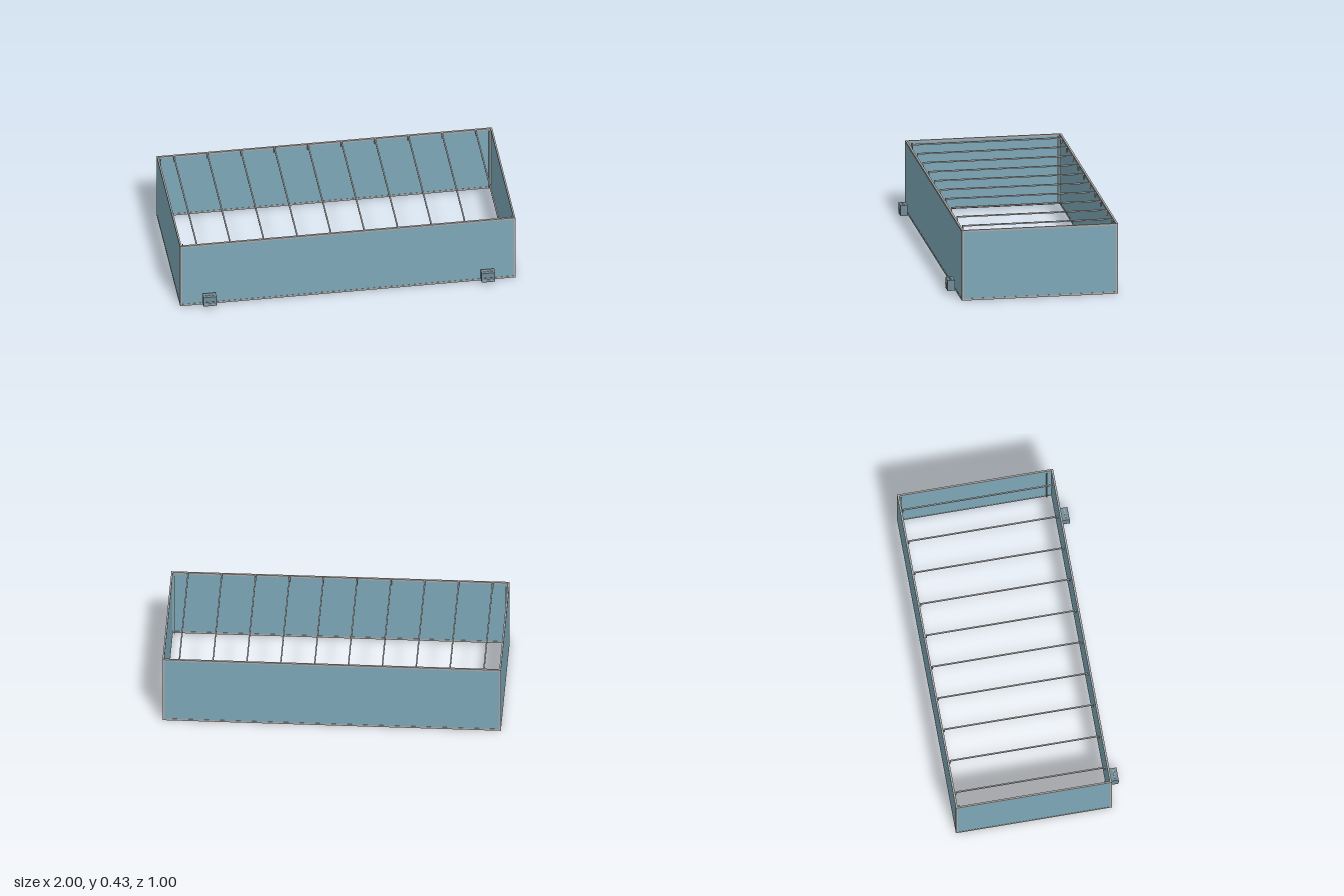
import * as THREE from 'three';

export function createModel() {
  const root = new THREE.Group();
  root.name = 'framedEnclosure';
  const mat = (name, color, side = THREE.FrontSide) => {
    const m = new THREE.MeshStandardMaterial({ color, side });
    m.name = name;
    return m;
  };
  const blue = mat('panelBlue', 0x7da7b7);
  const grey = mat('frameGrey', 0xa8a8a8);
  const slate = mat('boxSlate', 0x718b97);

  const H = 0.43, T = 0.012, X = 1, ZB = -0.5, ZF = 0.435;
  const zMid = (ZB + ZF) / 2, depth = ZF - ZB;

  const box = (parent, name, material, size, pos) => {
    const mesh = new THREE.Mesh(new THREE.BoxGeometry(...size), material);
    mesh.name = name;
    mesh.position.set(...pos);
    parent.add(mesh);
    return mesh;
  };

  // A wall: a rectangular frame with a panel set into it
  function wall(name, length, thick) {
    const g = new THREE.Group();
    g.name = name;
    for (const y of [T / 2, H - T / 2])
      box(g, 'rail', grey, [length, T, thick], [0, y, 0]);
    for (const s of [-1, 1])
      box(g, 'stile', grey, [T, H - 2 * T, thick], [s * (length - T) / 2, H / 2, 0]);
    box(g, 'panel', blue, [length - 2 * T, H - 2 * T, thick - 0.003], [0, H / 2, 0]);
    root.add(g);
    return g;
  }
  wall('frontWall', 2 * X, T).position.z = ZF - T / 2;
  wall('backWall', 2 * X, T).position.z = ZB + T / 2;
  for (const s of [-1, 1]) {
    const w = wall(s > 0 ? 'leftWall' : 'rightWall', depth, 0.01);
    w.rotation.y = s * Math.PI / 2;
    w.position.set(s * (X - 0.005), 0, zMid);
  }

  // Slender rods inside the corners
  for (const x of [-0.98, 0.98])
    for (const z of [-0.478, 0.395])
      box(root, 'cornerRod', grey, [0.005, H - 2 * T, 0.008], [x, H / 2, z]);

  // Cross bars over the opening, with a short hook at each end
  for (let i = 0; i < 10; i++) {
    const bar = new THREE.Group();
    bar.name = 'crossBar';
    bar.position.x = -0.9 + i * 0.2;
    box(bar, 'bar', grey, [0.008, 0.008, 0.9], [0, H, -0.035]);
    for (const z of [-0.482, 0.412])
      box(bar, 'hook', grey, [0.009, 0.03, 0.007], [0, H - 0.018, z]);
    root.add(bar);
  }

  // Small control boxes standing in front, with terminals on top and front
  for (const s of [-1, 1]) {
    const unit = new THREE.Group();
    unit.name = s > 0 ? 'leftControlBox' : 'rightControlBox';
    unit.position.set(s * 0.83, 0, 0);
    box(unit, 'housing', slate, [0.08, 0.064, 0.043], [0, 0.059, 0.4765]);
    for (let i = -1; i <= 1; i++) {
      box(unit, 'topTerminal', grey, [0.012, 0.004, 0.008], [i * 0.02, 0.093, 0.477]);
      box(unit, 'frontTerminal', grey, [0.014, 0.01, 0.003], [i * 0.022, 0.04, 0.4985]);
    }
    box(unit, 'frontRidge', slate, [0.08, 0.003, 0.002], [0, 0.056, 0.499]);
    root.add(unit);
  }
  return root;
}
